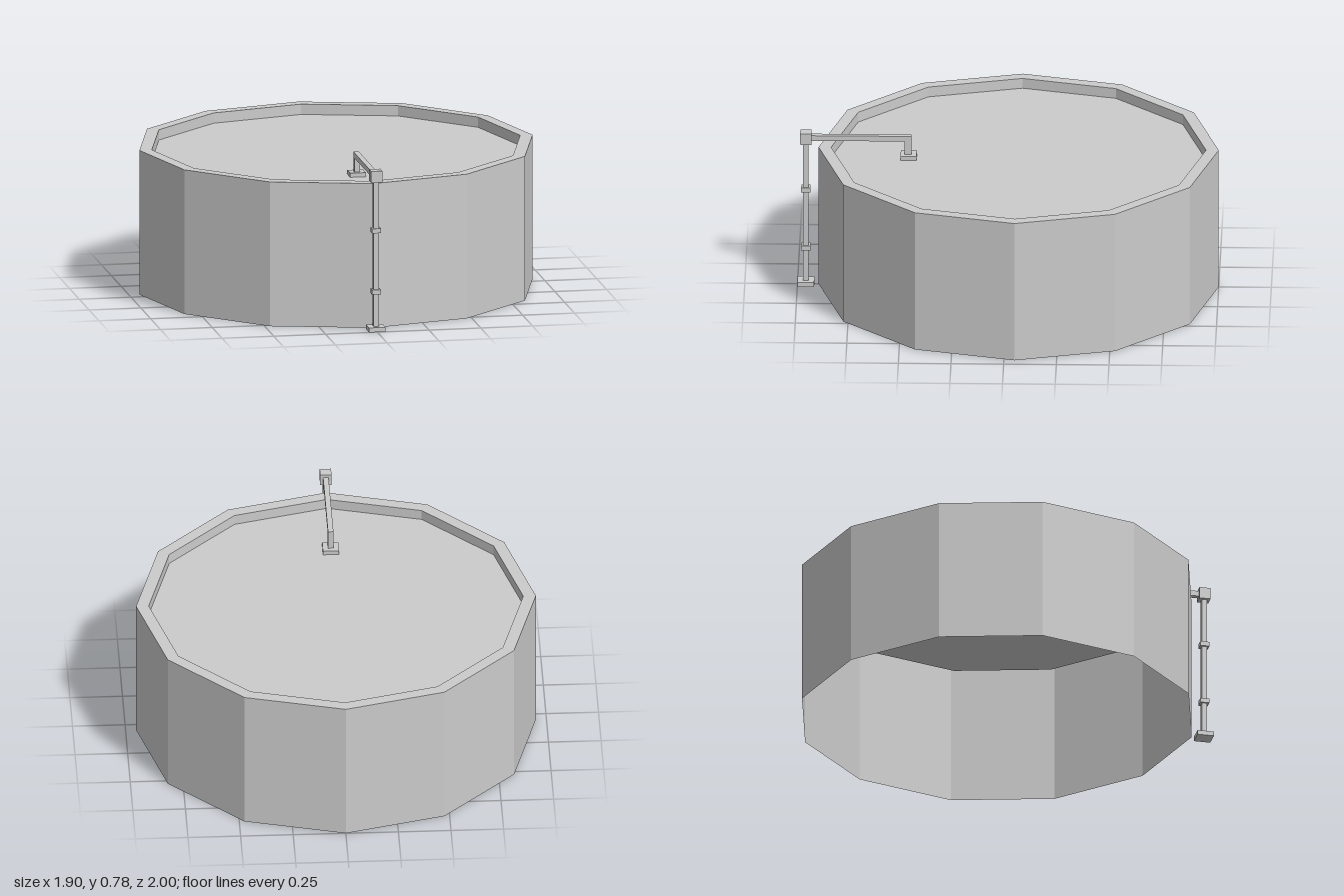
import * as THREE from 'three';

const SIDES = 12;
const OUTER = 0.95, INNER = 0.89;   // wall and lip radius
const TOP = 0.7, ROOF = 0.65;       // rim and recessed roof height
const POST_Z = 0.96, DROP_Z = 0.475;

export function createModel() {
  const model = new THREE.Group();
  const grey = new THREE.MeshStandardMaterial({ color: 0xcccccc, flatShading: true });
  const sheet = new THREE.MeshStandardMaterial({ color: 0xcccccc, flatShading: true, side: THREE.DoubleSide });

  const add = (name, geometry, material, parent) => {
    const mesh = new THREE.Mesh(geometry, material);
    mesh.name = name;
    parent.add(mesh);
    return mesh;
  };

  // Twelve-sided tank, open underneath
  const tank = new THREE.Group();
  tank.name = 'tank';
  tank.position.z = -0.05;
  model.add(tank);
  const ring = (name, profile) => add(name,
    new THREE.LatheGeometry(profile.map(([r, y]) => new THREE.Vector2(r, y)), SIDES), sheet, tank);
  ring('wall', [[OUTER, 0], [OUTER, TOP]]);
  ring('rim', [[OUTER, TOP], [INNER, TOP], [INNER, ROOF]]);
  const roof = add('roof', new THREE.CircleGeometry(INNER, SIDES), sheet, tank);
  roof.rotation.x = -Math.PI / 2;
  roof.position.y = ROOF;

  // Square pipe climbing the wall and crossing onto the roof
  const pipe = new THREE.Group();
  pipe.name = 'pipe';
  model.add(pipe);
  const box = (name, w, h, d, y, z) =>
    add(name, new THREE.BoxGeometry(w, h, d), grey, pipe).position.set(0, y, z);

  box('basePlate', 0.08, 0.022, 0.08, 0.011, POST_Z);
  box('post', 0.026, 0.73, 0.026, 0.375, POST_Z);
  for (const y of [0.19, 0.487]) box('clamp', 0.044, 0.022, 0.044, y, POST_Z);
  box('elbow', 0.054, 0.056, 0.054, 0.75, POST_Z);
  box('arm', 0.026, 0.026, POST_Z - 0.46, 0.75, (POST_Z + 0.46) / 2);
  box('drop', 0.026, 0.763 - ROOF, 0.032, (0.763 + ROOF) / 2, DROP_Z);
  box('roofPlate', 0.076, 0.02, 0.076, ROOF + 0.01, DROP_Z - 0.003);

  return model;
}
